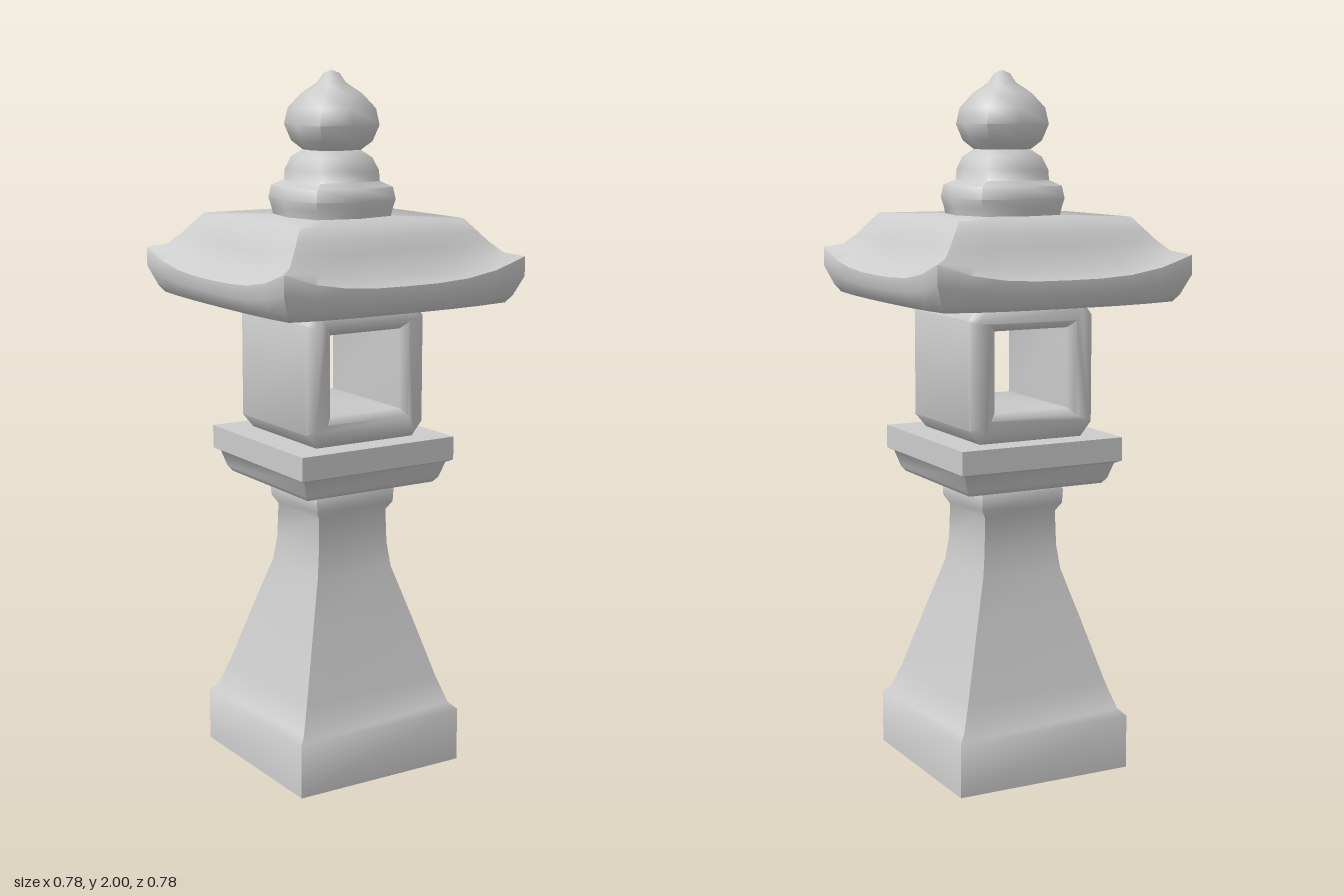
import * as THREE from 'three';
import { toCreasedNormals } from 'three/addons/utils/BufferGeometryUtils.js';

const stone = new THREE.MeshStandardMaterial({ color: 0xcccccc });

function addPart(group, name, geometry, crease = 1.0) {
  const mesh = new THREE.Mesh(toCreasedNormals(geometry, crease), stone);
  mesh.name = name;
  group.add(mesh);
}

// Square loft: rows of [half width, y, extra height at the corners], bottom to top.
function squareLoft(rows, div = 1) {
  const ring = [];
  for (let side = 0; side < 4; side++) {
    for (let k = 0; k < div; k++) {
      const t = -1 + (2 * k) / div;
      let x = t, z = 1;
      for (let r = 0; r < side; r++) [x, z] = [z, -x];
      ring.push([x, z, Math.abs(t) ** 3]);
    }
  }
  const n = ring.length, pos = [], index = [];
  for (const [w, y, lift = 0] of rows) {
    for (const [x, z, c] of ring) pos.push(x * w, y + lift * c, z * w);
  }
  for (let j = 0; j < rows.length - 1; j++) {
    for (let i = 0; i < n; i++) {
      const a = j * n + i, b = j * n + ((i + 1) % n);
      if (rows[j][0] > 0) index.push(a, b, b + n);
      if (rows[j + 1][0] > 0) index.push(a, b + n, a + n);
    }
  }
  const g = new THREE.BufferGeometry();
  g.setAttribute('position', new THREE.Float32BufferAttribute(pos, 3));
  g.setIndex(index);
  return g;
}

// Eight-sided turning, pushed out at the diagonals towards a square.
function squaredLathe(profile) {
  const g = new THREE.LatheGeometry(profile.map(([r, y]) => new THREE.Vector2(r, y)), 8);
  const p = g.attributes.position;
  for (let i = 0; i < p.count; i++) {
    const x = p.getX(i), z = p.getZ(i), r = Math.hypot(x, z);
    if (r > 0 && Math.abs(x * z) > 0.1 * r * r) p.setXYZ(i, x * 1.17, p.getY(i), z * 1.17);
  }
  return g;
}

export function createModel() {
  const lantern = new THREE.Group();
  lantern.name = 'stoneLantern';

  // Plinth and flared post in one piece
  addPart(lantern, 'post', squareLoft([
    [0, 0], [0.268, 0], [0.268, 0.155], [0.248, 0.175], [0.222, 0.25], [0.17, 0.43],
    [0.125, 0.58], [0.116, 0.65], [0.113, 0.75], [0.128, 0.775], [0.13, 0.815],
    [0.115, 0.84], [0, 0.84],
  ]));

  // Platform slab with a moulded underside
  addPart(lantern, 'platform', squareLoft([
    [0, 0.84], [0.21, 0.84], [0.222, 0.855], [0.236, 0.9], [0.252, 0.908],
    [0.252, 0.975], [0, 0.975],
  ]));

  // Light chamber, open from front to back, with bevelled edges
  const outline = new THREE.Shape([
    [-0.16, 0.975], [0.16, 0.975], [0.194, 1.015], [0.194, 1.32],
    [0.162, 1.362], [-0.162, 1.362], [-0.194, 1.32], [-0.194, 1.015],
  ].map(([x, y]) => new THREE.Vector2(x, y)));
  outline.holes.push(new THREE.Path([
    [-0.115, 1.06], [-0.115, 1.288], [0.115, 1.288], [0.115, 1.06],
  ].map(([x, y]) => new THREE.Vector2(x, y))));
  const chamber = new THREE.ExtrudeGeometry(outline, {
    depth: 0.35, bevelThickness: 0.02, bevelSize: 0.02, bevelOffset: -0.02, bevelSegments: 1,
  });
  chamber.translate(0, 0, -0.175);
  addPart(lantern, 'lightChamber', chamber, 0.9);

  // Roof with upswept corners
  addPart(lantern, 'roof', squareLoft([
    [0, 1.362], [0.35, 1.36, 0.005], [0.365, 1.37, 0.015], [0.388, 1.405, 0.035],
    [0.388, 1.44, 0.055], [0.345, 1.465, 0.04], [0.315, 1.525, 0.01], [0.295, 1.56],
    [0.265, 1.597], [0, 1.6],
  ], 8));

  // Finial collar and bud
  addPart(lantern, 'finialCollar', squaredLathe([
    [0, 1.595], [0.145, 1.595], [0.15, 1.62], [0.157, 1.645], [0.15, 1.68], [0.118, 1.695],
    [0.116, 1.725], [0.1, 1.76], [0.065, 1.785], [0, 1.785],
  ]), 1.2);
  addPart(lantern, 'finialBud', squaredLathe([
    [0, 1.77], [0.065, 1.775], [0.1, 1.805], [0.117, 1.85], [0.108, 1.895], [0.075, 1.935],
    [0.035, 1.965], [0.02, 1.99], [0, 2],
  ]), 1.2);

  return lantern;
}
